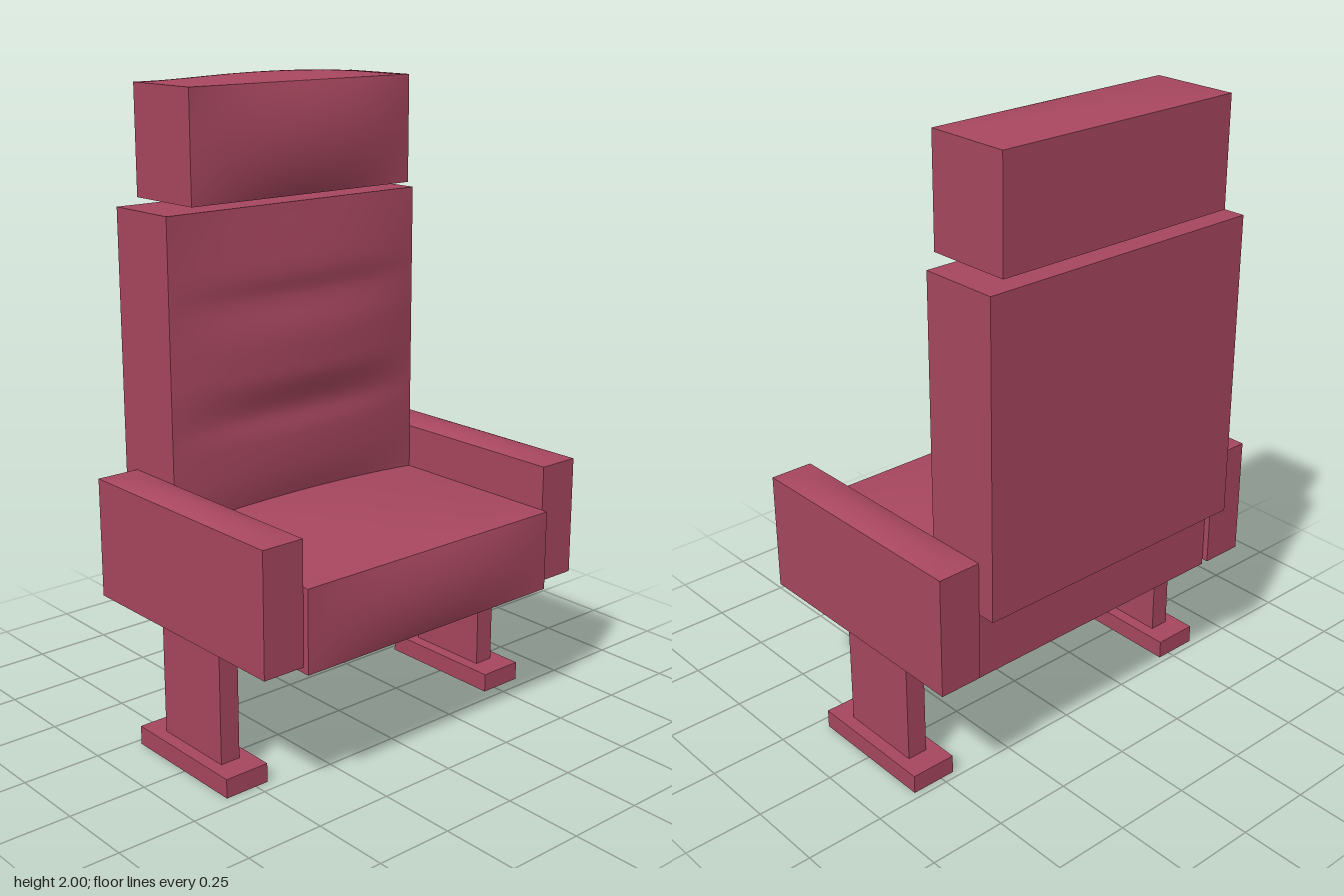
import * as THREE from 'three';

const fabric = new THREE.MeshStandardMaterial({ color: 0xa8475f });
fabric.name = 'dusty red';

const parabola = (t) => 1 - t * t;

// Box given by its [min, max] ranges; top and front faces can swell like cushions.
function block(name, [x0, x1], [y0, y1], [z0, z1], { top = 0, front = 0, frontRule = null } = {}) {
  const soft = top || front || frontRule;
  const n = soft ? 20 : 1;
  const w = x1 - x0, h = y1 - y0, d = z1 - z0;
  const geo = new THREE.BoxGeometry(w, h, d, n, frontRule ? 48 : n, n);
  if (soft) {
    const p = geo.attributes.position, nor = geo.attributes.normal;
    for (let i = 0; i < p.count; i++) {
      const u = p.getX(i) / (w / 2), v = p.getY(i) / (h / 2), t = p.getZ(i) / (d / 2);
      if (nor.getY(i) > 0.5) p.setY(i, p.getY(i) + top * parabola(u) * parabola(t));
      if (nor.getZ(i) > 0.5) {
        const swell = frontRule ? frontRule(v) : front * parabola(v);
        p.setZ(i, p.getZ(i) + swell * parabola(u));
      }
    }
    geo.computeVertexNormals();
  }
  const mesh = new THREE.Mesh(geo, fabric);
  mesh.name = name;
  mesh.position.set((x0 + x1) / 2, (y0 + y1) / 2, (z0 + z1) / 2);
  return mesh;
}

// Lumbar padding: swell of the backrest from bottom (-1) to top (1)
const padding = new THREE.SplineCurve([
  [-1, 0], [-0.75, 0.024], [-0.48, 0.027], [-0.32, 0.015], [-0.12, 0.038], [0.0, 0.041],
  [0.2, 0.038], [0.42, 0.018], [0.6, 0.024], [1, 0],
].map(([v, s]) => new THREE.Vector2(v, s))).getPoints(90);

function lumbar(v) {
  if (Math.abs(v) > 0.9999) return 0;
  const i = Math.max(1, padding.findIndex((q) => q.x >= v));
  const a = padding[i - 1], b = padding[i];
  return a.y + (b.y - a.y) * (v - a.x) / (b.x - a.x);
}

export function createModel() {
  const chair = new THREE.Group();
  chair.name = 'theatreSeat';

  // Cushions
  chair.add(
    block('headrest', [-0.42, 0.42], [1.645, 1.98], [-0.427, -0.152], { top: 0.02, front: 0.03 }),
    block('backrest', [-0.48, 0.48], [0.655, 1.62], [-0.447, -0.193], { frontRule: lumbar }),
    block('seatCushion', [-0.48, 0.48], [0.425, 0.68], [-0.37, 0.428], { top: 0.03, front: 0.02 }),
  );

  // Armrests, legs and feet on both sides
  for (const side of [-1, 1]) {
    const name = side > 0 ? 'left' : 'right';
    const span = (centre, width) => [centre - width / 2, centre + width / 2];
    const legX = side * 0.53 - 0.002;
    chair.add(
      block(name + 'Armrest', span(side * 0.549, 0.138), [0.443, 0.82], [-0.39, 0.408], { top: 0.016 }),
      block(name + 'Leg', span(legX, 0.066), [0.06, 0.45], [-0.15, 0.13]),
      block(name + 'Foot', span(legX, 0.148), [0, 0.06], [-0.227, 0.21]),
    );
  }

  // Crossbar under the seat
  const bar = new THREE.Mesh(new THREE.CylinderGeometry(0.038, 0.038, 0.96, 32), fabric);
  bar.name = 'crossbar';
  bar.rotation.z = Math.PI / 2;
  bar.position.set(0, 0.383, -0.11);
  chair.add(bar);

  return chair;
}
